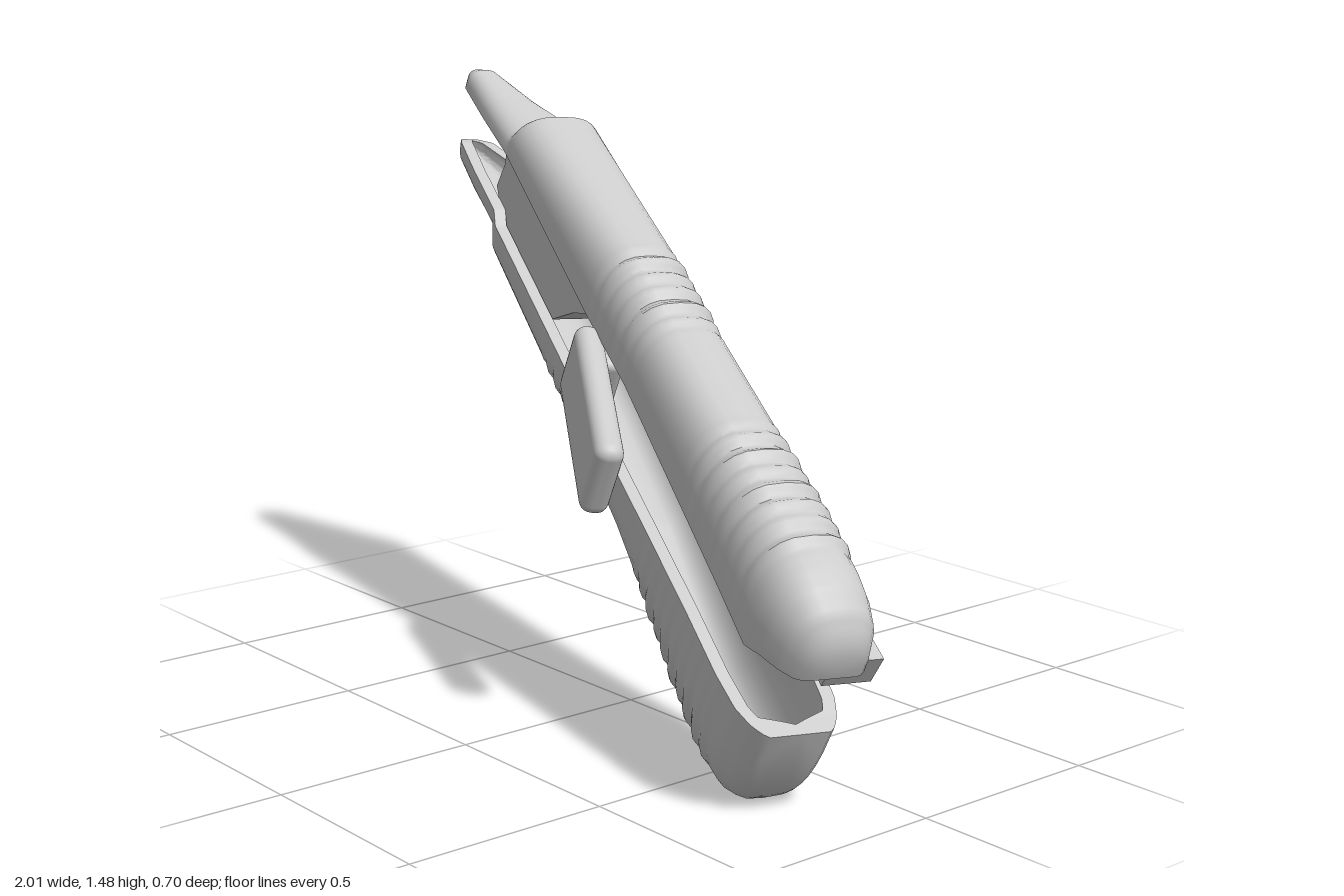
import * as THREE from 'three';
import { toCreasedNormals } from 'three/addons/utils/BufferGeometryUtils.js';
import { RoundedBoxGeometry } from 'three/addons/geometries/RoundedBoxGeometry.js';

const material = new THREE.MeshStandardMaterial({ color: 0xcccccc, side: THREE.DoubleSide });

function addMesh(group, name, geometry) {
  const mesh = new THREE.Mesh(geometry, material);
  mesh.name = name;
  group.add(mesh);
  return mesh;
}

// Linear interpolation in rows of [s, rim, outer, halfWidth, centre, rearRise]
function sampleStations(rows, s) {
  let i = 0;
  while (i < rows.length - 2 && s > rows[i + 1][0]) i++;
  const f = (s - rows[i][0]) / (rows[i + 1][0] - rows[i][0]);
  return rows[i].map((v, k) => v + (rows[i + 1][k] - v) * f);
}

// Slightly uneven finger grip ribs inside the given length ranges
function ribs(s, ranges) {
  for (const [a, b, height] of ranges) {
    if (s > a && s < b) {
      const fade = Math.min(1, (s - a) / 0.04, (b - s) / 0.04);
      return height * fade * (Math.sin((s - a) * 114) + 0.3 * Math.sin(s * 71));
    }
  }
  return 0;
}

// Hollow U-shaped shell lofted along x, running from the jaw to the closed butt
function shellGeometry(rows, ribRanges, roundness) {
  const n = 14, steps = 220, wall = 0.032, ring = 2 * n + 2;
  const start = rows[0][0], end = rows[rows.length - 1][0];
  const flip = rows[0][2] < rows[0][1];
  const positions = [], index = [];
  const tri = (a, b, c) => flip ? index.push(a, c, b) : index.push(a, b, c);
  for (let i = 0; i <= steps; i++) {
    const s = start + (end - start) * i / steps;
    const [, rim, outer, half, centre, rise] = sampleStations(rows, s);
    const open = THREE.MathUtils.clamp((end - 0.03 - s) / 0.03, 0, 1);
    const depth = outer - rim, sign = Math.sign(depth);
    const bump = ribs(s, ribRanges);
    const point = (k, w, d, extra) => {
      const a = Math.PI * k / n, c = Math.cos(a), sn = Math.abs(Math.sin(a));
      const z = Math.sign(c) * Math.abs(c) ** roundness * (w + extra * sn);
      const y = sn < 1e-6 ? 0 : sn ** roundness * (d + sign * extra);
      const rear = c < 0 ? rise * (1 - sn) : 0;
      positions.push(s, rim + y + rear, centre + z);
    };
    for (let k = 0; k <= n; k++) point(k, half, depth, bump);
    const innerHalf = Math.max(0, half - wall) * open;
    const innerDepth = sign * Math.max(0, Math.abs(depth) - wall) * open;
    for (let k = n; k >= 0; k--) point(k, innerHalf, innerDepth, 0);
  }
  for (let i = 0; i < steps; i++) {
    for (let j = 0; j < ring; j++) {
      const a = i * ring + j, c = i * ring + (j + 1) % ring;
      tri(a, a + ring, c);
      tri(c, a + ring, c + ring);
    }
  }
  const last = steps * ring;
  for (let k = 0; k < n; k++) {
    const o = k, o2 = k + 1, q = ring - 1 - k, q2 = ring - 2 - k;
    tri(o, o2, q);
    tri(o2, q2, q);
    tri(last + o, last + q, last + o2);
    tri(last + o2, last + q, last + q2);
  }
  const geometry = new THREE.BufferGeometry();
  geometry.setAttribute('position', new THREE.Float32BufferAttribute(positions, 3));
  geometry.setIndex(index);
  return toCreasedNormals(geometry, 0.7);
}

// Flat plate from a side outline, centred on z
function plateGeometry(points, thickness, z) {
  const shape = new THREE.Shape(points.map(([x, y]) => new THREE.Vector2(x, y)));
  const geometry = new THREE.ExtrudeGeometry(shape, { depth: thickness, bevelEnabled: false });
  return geometry.translate(0, 0, z - thickness / 2);
}

export function createModel() {
  const model = new THREE.Group();
  model.name = 'hingedTool';

  // Local frame: x along the handles, y across the opening, z sideways
  const body = new THREE.Group();
  body.name = 'toolBody';
  const along = new THREE.Vector3(0.837, -0.486, 0.251).normalize();
  const side = along.clone().cross(new THREE.Vector3(0.48, 0.87, 0.08)).normalize();
  const across = side.clone().cross(along);
  body.quaternion.setFromRotationMatrix(new THREE.Matrix4().makeBasis(along, across, side));
  body.position.set(0, 0.715, -0.03);
  model.add(body);

  // Upper handle with its narrow jaw
  addMesh(body, 'upperHandle', shellGeometry([
    [-1.18, 0.18, 0.21, 0.025, 0.09, 0],
    [-1.15, 0.17, 0.228, 0.045, 0.084, 0],
    [-1.0, 0.175, 0.24, 0.075, 0.052, 0],
    [-0.83, 0.19, 0.262, 0.115, 0.012, 0],
    [-0.8, 0.195, 0.32, 0.122, 0.008, 0],
    [-0.2, 0.165, 0.35, 0.118, 0.002, 0],
    [0.08, 0.165, 0.345, 0.117, 0, 0],
    [0.75, 0.145, 0.362, 0.127, 0.006, 0],
    [0.9, 0.138, 0.352, 0.127, 0.01, 0],
    [0.95, 0.16, 0.342, 0.12, 0.01, 0],
    [1.0, 0.165, 0.315, 0.105, 0.004, 0],
    [1.035, 0.165, 0.275, 0.08, 0, 0],
    [1.05, 0.175, 0.24, 0.055, 0, 0],
  ], [[-0.22, 0.12, 0.006], [0.42, 0.86, 0.006]], 0.72));

  // Lower handle with its narrow jaw and higher rear wall
  addMesh(body, 'lowerHandle', shellGeometry([
    [-1.155, 0.002, -0.03, 0.022, 0.08, 0],
    [-1.12, 0.015, -0.05, 0.045, 0.07, 0],
    [-0.99, 0.012, -0.062, 0.078, 0.04, 0.01],
    [-0.83, 0.003, -0.075, 0.115, -0.003, 0.03],
    [-0.79, -0.02, -0.135, 0.122, -0.006, 0.05],
    [-0.15, -0.025, -0.162, 0.122, -0.003, 0.06],
    [0.1, -0.025, -0.183, 0.121, 0, 0.055],
    [0.22, -0.025, -0.195, 0.121, 0, 0.05],
    [0.4, -0.025, -0.232, 0.121, 0, 0.045],
    [0.64, -0.025, -0.29, 0.122, 0, 0.015],
    [0.83, -0.025, -0.312, 0.126, 0, 0.01],
    [0.93, -0.025, -0.302, 0.121, 0, 0.005],
    [0.98, -0.025, -0.275, 0.106, 0, 0],
    [1.01, -0.025, -0.235, 0.088, 0, 0],
    [1.022, -0.025, -0.195, 0.073, 0, 0],
  ], [[-0.38, 0, 0.004], [0.34, 0.88, 0.006]], 0.64));

  // Pivot block joining the two handles
  addMesh(body, 'pivotBlock', plateGeometry([
    [-0.93, 0.195], [-0.9, 0.1], [-0.915, 0.02], [-0.82, -0.04],
    [-0.42, -0.04], [-0.32, 0.06], [-0.16, 0.18], [-0.3, 0.24], [-0.76, 0.24],
  ], 0.14, 0.01));

  // Thumb lever flaring away from the front, with its short arm
  const lever = addMesh(body, 'thumbLever', new RoundedBoxGeometry(0.48, 0.2, 0.07, 3, 0.03));
  lever.position.set(0.085, 0.07, 0.178);
  lever.rotation.y = -0.23;
  const arm = addMesh(body, 'leverArm', new RoundedBoxGeometry(0.13, 0.14, 0.08, 2, 0.02));
  arm.position.set(-0.085, 0.07, 0.095);
  arm.rotation.y = -0.23;

  // Small catch hook at the butt of the upper handle
  addMesh(body, 'catchHook', plateGeometry([
    [0.93, 0.2], [0.95, 0.15], [0.99, 0.125], [1.02, 0.122], [1.03, 0.2],
  ], 0.12, -0.06));

  return model;
}
